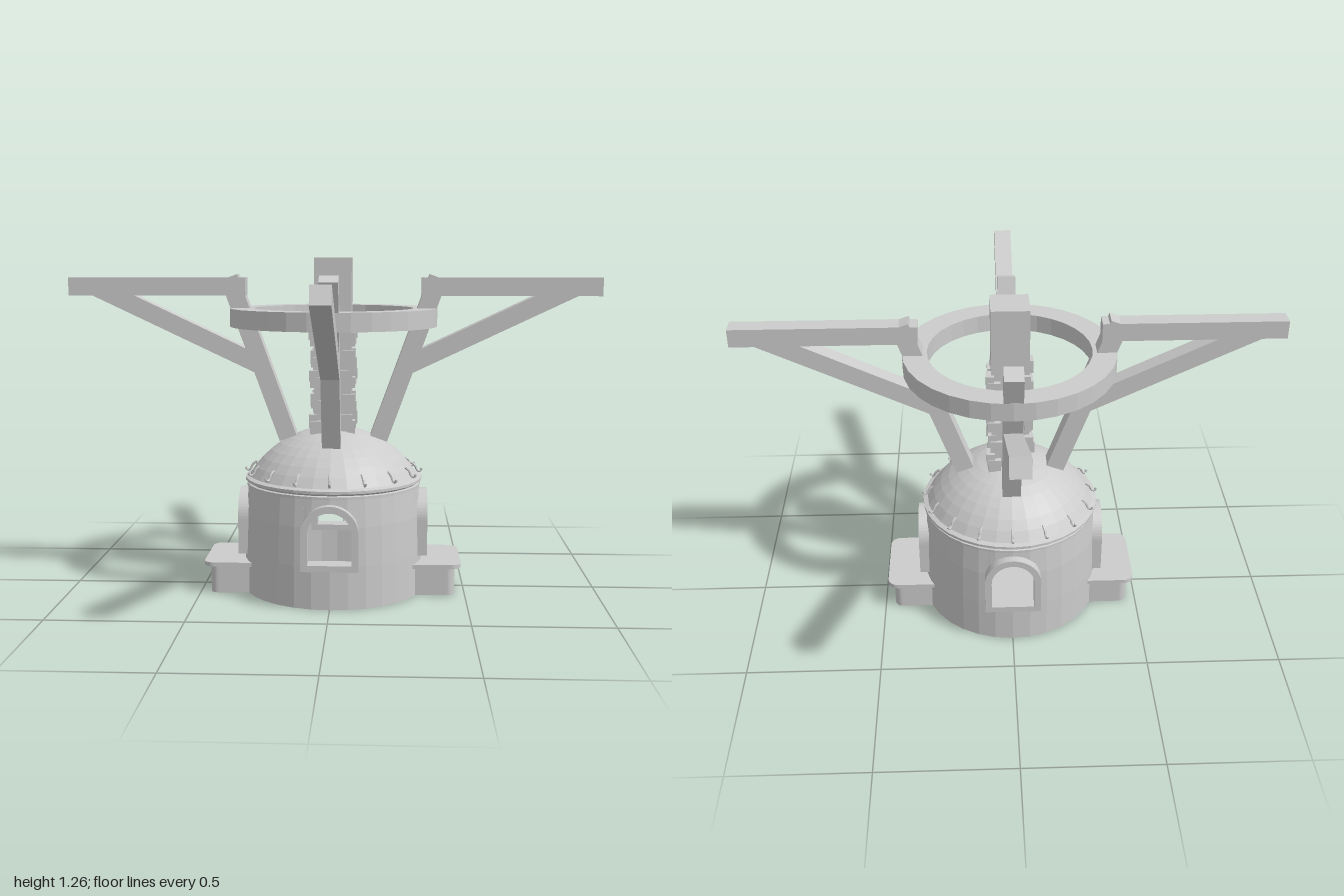
import * as THREE from 'three';

const mat = new THREE.MeshStandardMaterial({ color: 0xcccccc, flatShading: true });
const shellMat = new THREE.MeshStandardMaterial({ color: 0xcccccc, flatShading: true, side: THREE.DoubleSide });
const SIDES = 32;

function add(parent, name, geometry, material = mat) {
  const mesh = new THREE.Mesh(geometry, material);
  mesh.name = name;
  parent.add(mesh);
  return mesh;
}

// Square beam between two points of the xy plane
function beam(parent, name, [x0, y0], [x1, y1], size = 0.068) {
  const m = add(parent, name, new THREE.BoxGeometry(Math.hypot(x1 - x0, y1 - y0), size, size));
  m.position.set((x0 + x1) / 2, (y0 + y1) / 2, 0);
  m.rotation.z = Math.atan2(y1 - y0, x1 - x0);
}

// Arched outline with a flat sill
function archPath(Type, halfWidth, sill, spring) {
  const p = new Type();
  p.moveTo(-halfWidth, sill);
  p.lineTo(halfWidth, sill);
  p.lineTo(halfWidth, spring);
  p.absarc(0, spring, halfWidth, 0, Math.PI, false);
  p.closePath();
  return p;
}

// Faceted drum wall in narrow columns, left open behind the four window frames
function wallGeometry() {
  const pos = [], sub = 6, step = (Math.PI * 2) / SIDES;
  const rows = [[0, 0.342], [0.157, 0.341], [0.3, 0.336], [0.415, 0.326]];
  const radius = (y) => {
    let i = 1;
    while (i < rows.length - 1 && y > rows[i][0]) i++;
    const [a, b] = [rows[i - 1], rows[i]];
    return THREE.MathUtils.lerp(a[1], b[1], (y - a[0]) / (b[0] - a[0]));
  };
  const dir = (k) => {
    const s = Math.floor(k / sub), t = (k % sub) / sub, a = s * step, b = a + step;
    return [Math.sin(a) * (1 - t) + Math.sin(b) * t, Math.cos(a) * (1 - t) + Math.cos(b) * t];
  };
  const point = (d, y) => [d[0] * radius(y), y, d[1] * radius(y)];
  const quad = (d, e, y0, y1, z0 = y0, z1 = y1) => {
    const a = point(d, y0), b = point(e, z0), c = point(e, z1), f = point(d, y1);
    pos.push(...a, ...b, ...c, ...a, ...c, ...f);
  };
  const across = (d) => Math.min(Math.abs(d[0]), Math.abs(d[1])) * 0.338;
  const archTop = (d) => 0.28 + Math.sqrt(Math.max(0, 0.094 ** 2 - across(d) ** 2));
  for (let k = 0; k < SIDES * sub; k++) {
    const d = dir(k), e = dir(k + 1);
    quad(d, e, 0, 0.157);
    if ((across(d) + across(e)) / 2 < 0.094) {
      quad(d, e, archTop(d), 0.415, archTop(e), 0.415);
    } else {
      quad(d, e, 0.157, 0.3);
      quad(d, e, 0.3, 0.415);
    }
  }
  const g = new THREE.BufferGeometry();
  g.setAttribute('position', new THREE.Float32BufferAttribute(pos, 3));
  g.computeVertexNormals();
  return g;
}

// Flat slab reaching out along +x with rounded outer corners
function slabGeometry(x0, x1, halfZ, corner, height) {
  const s = new THREE.Shape();
  s.moveTo(x0, -halfZ);
  s.lineTo(x1 - corner, -halfZ);
  s.absarc(x1 - corner, -halfZ + corner, corner, -Math.PI / 2, 0, false);
  s.absarc(x1 - corner, halfZ - corner, corner, 0, Math.PI / 2, false);
  s.lineTo(x0, halfZ);
  s.closePath();
  return new THREE.ExtrudeGeometry(s, { depth: height, bevelEnabled: false, curveSegments: 5 }).rotateX(-Math.PI / 2);
}

export function createModel() {
  const model = new THREE.Group();
  model.name = 'domedTower';

  // Drum and floor
  add(model, 'drumWall', wallGeometry(), shellMat);
  add(model, 'floor', new THREE.CircleGeometry(0.342, SIDES).rotateX(Math.PI / 2).rotateY(Math.PI / 2), shellMat);

  // Shallow dome with an overhanging lip
  const profile = [[0.315, 0.4], [0.332, 0.403], [0.332, 0.413], [0.324, 0.416], [0.337, 0.424], [0.337, 0.434]];
  const R = 0.372, cy = 0.25, a0 = Math.asin(0.19 / R);
  for (let i = 0; i <= 9; i++) {
    const a = a0 + ((Math.PI / 2 - a0) * i) / 9;
    profile.push([Math.max(0, R * Math.cos(a)), cy + R * Math.sin(a)]);
  }
  add(model, 'dome', new THREE.LatheGeometry(profile.map((p) => new THREE.Vector2(...p)), SIDES), shellMat);

  // Small hooks around the dome's edge
  const hookCurve = new THREE.CatmullRomCurve3([[0.296, 0.485], [0.312, 0.472], [0.32, 0.455], [0.332, 0.45], [0.338, 0.462]]
    .map(([x, y]) => new THREE.Vector3(x, y, 0)));
  const hookGeometry = new THREE.TubeGeometry(hookCurve, 8, 0.005, 6);
  for (let i = 0; i < 16; i++) add(model, 'domeHook', hookGeometry).rotation.y = (i * Math.PI) / 8;

  // Arched window frames on four sides
  const frameShape = archPath(THREE.Shape, 0.105, 0.145, 0.28);
  frameShape.holes.push(archPath(THREE.Path, 0.08, 0.168, 0.28));
  const frameGeometry = new THREE.ExtrudeGeometry(frameShape, { depth: 0.07, bevelEnabled: false, curveSegments: 14 })
    .translate(0, 0, 0.288);
  for (let i = 0; i < 4; i++) add(model, 'windowFrame', frameGeometry).rotation.y = (i * Math.PI) / 2;

  // Ledges on the left and right
  for (const turn of [0, Math.PI]) {
    const ledge = new THREE.Group();
    ledge.name = 'ledge';
    add(ledge, 'ledgeBody', slabGeometry(0.29, 0.462, 0.135, 0.03, 0.108));
    add(ledge, 'ledgeTop', slabGeometry(0.29, 0.485, 0.155, 0.04, 0.016)).position.y = 0.106;
    ledge.rotation.y = turn;
    model.add(ledge);
  }

  // Central pillar with staggered plates near its corners
  add(model, 'pillar', new THREE.BoxGeometry(0.14, 0.7, 0.14)).position.y = 0.91;
  const plates = [[0.64, 0.05], [0.72, 0.045], [0.81, 0.04], [0.88, 0.05], [0.97, 0.05]];
  for (let i = 0; i < 4; i++) {
    const face = new THREE.Group();
    face.name = 'pillarPlates';
    for (const side of [-1, 1]) {
      plates.forEach(([y, h], j) => {
        const inset = (j + i + (side > 0 ? 1 : 0)) % 2;
        const plate = add(face, 'plate', new THREE.BoxGeometry(0.048, h, 0.03));
        plate.position.set(side * (inset ? 0.05 : 0.06), y + side * 0.012, inset ? 0.068 : 0.074);
      });
    }
    face.rotation.y = (i * Math.PI) / 2;
    model.add(face);
  }

  // Four leaning legs with struts; the left and right ones carry a level beam
  for (let i = 0; i < 4; i++) {
    const arm = new THREE.Group();
    arm.name = 'arm';
    beam(arm, 'leg', [0.172, 0.58], [0.392, 1.188]);
    beam(arm, 'strut', [0.285, 0.862], [0.895, 1.15]);
    if (i % 2 === 0) beam(arm, 'levelBeam', [0.33, 1.153], [1, 1.153]);
    arm.rotation.y = (i * Math.PI) / 2;
    model.add(arm);
  }

  // Ring held by the legs
  const ring = [[0.3, 1.005], [0.39, 1.005], [0.39, 1.073], [0.3, 1.073], [0.3, 1.005]];
  add(model, 'ring', new THREE.LatheGeometry(ring.map((p) => new THREE.Vector2(...p)), SIDES));

  return model;
}
